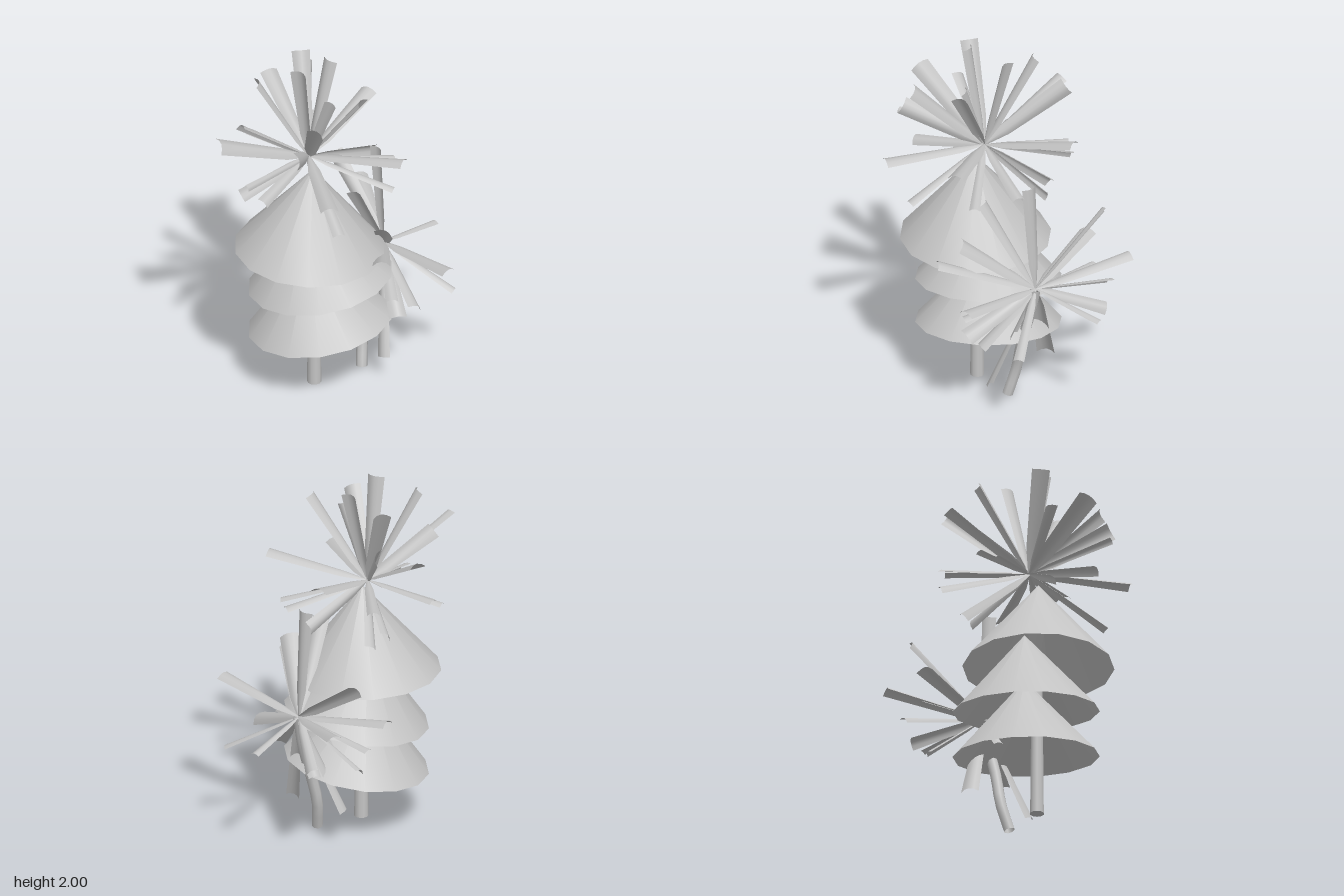
import * as THREE from 'three';

const V = (x, y, z) => new THREE.Vector3(x, y, z);
const UP = V(0, 1, 0);

// Straight arched leaf, narrow at the hub and widest at its cut tip, rolled about its length
function frondGeometry(hub, tip, width, roll) {
  const dir = tip.clone().sub(hub).normalize();
  const side = dir.clone().cross(UP).normalize().applyAxisAngle(dir, -roll);
  const out = side.clone().cross(dir);
  const rows = [[0, 0.14], [0.25, 0.68], [1, 1]];
  const cols = 4;
  const pos = [], idx = [];
  rows.forEach(([t, s], r) => {
    for (let c = 0; c <= cols; c++) {
      const u = (c / cols) * 2 - 1;
      const p = hub.clone().lerp(tip, t)
        .addScaledVector(side, u * s * width / 2)
        .addScaledVector(out, (0.5 - u * u) * s * width * 0.25);
      pos.push(p.x, p.y, p.z);
      if (r && c) {
        const a = (r - 1) * (cols + 1) + c - 1, b = a + cols + 1;
        idx.push(a, a + 1, b, a + 1, b + 1, b);
      }
    }
  });
  const g = new THREE.BufferGeometry();
  g.setAttribute('position', new THREE.Float32BufferAttribute(pos, 3));
  g.setIndex(idx);
  g.computeVertexNormals();
  return g;
}

function crown(name, hub, tips, material) {
  const group = new THREE.Group();
  group.name = name;
  for (const [x, y, z, w = 0.1, roll = 0] of tips) {
    const m = new THREE.Mesh(frondGeometry(hub, V(x, y, z), w, roll), material);
    m.name = 'frond';
    group.add(m);
  }
  return group;
}

export function createModel() {
  const model = new THREE.Group();
  const grey = new THREE.MeshStandardMaterial({ color: 0xc4c4c4, side: THREE.DoubleSide });
  grey.name = 'light grey';
  const add = (name, geometry) => {
    const m = new THREE.Mesh(geometry, grey);
    m.name = name;
    model.add(m);
    return m;
  };

  // Upright trunk
  add('pineTrunk', new THREE.CylinderGeometry(0.032, 0.039, 0.74, 10))
    .position.set(-0.165, 0.375, -0.08);

  // Open foliage cones: base centre, radius, height, axis
  const cones = [
    [V(-0.1, 0.36, -0.09), 0.4, 0.43, V(-0.075, 1, -0.14)],
    [V(-0.1, 0.63, -0.09), 0.4, 0.43, V(-0.075, 1, -0.14)],
    [V(-0.185, 0.868, -0.095), 0.413, 0.5, V(0.02, 1, 0.03)],
  ];
  for (const [base, r, h, axis] of cones) {
    const g = new THREE.ConeGeometry(r, h, 14, 1, true);
    g.translate(0, h / 2, 0);
    const cone = add('foliageCone', g);
    cone.quaternion.setFromUnitVectors(UP, axis.normalize());
    cone.position.copy(base);
  }

  // Bent trunk of the smaller palm
  const bend = new THREE.CatmullRomCurve3([
    V(0.1, 0.02, 0.035), V(0.14, 0.18, 0.01), V(0.18, 0.35, 0.025),
    V(0.24, 0.55, 0.04), V(0.28, 0.73, 0.04),
  ]);
  add('palmTrunk', new THREE.TubeGeometry(bend, 10, 0.031, 8, false));

  // Frond tips: x, y, z, width, roll
  model.add(crown('upperCrown', V(-0.15, 1.42, -0.13), [
    [-0.245, 2, -0.12], [0, 1.97, -0.11], [-0.36, 1.92, -0.32],
    [0.04, 1.92, -0.34], [-0.1, 1.87, 0.2], [-0.43, 1.81, 0.15, 0.1, 0.6],
    [-0.17, 1.83, 0.04, 0.07, 1.2], [0.2, 1.75, -0.41, 0.1, -1.3],
    [-0.68, 1.67, -0.32, 0.11, 0.5], [-0.53, 1.66, 0.1, 0.1, 1.3],
    [0.06, 1.69, -0.58], [-0.69, 1.48, -0.12, 0.04, 0.9],
    [0.4, 1.57, -0.16], [0, 1.52, 0.41], [-0.51, 1.42, 0.31],
    [-0.58, 1.34, -0.1, 0.07, 0.6], [0.22, 1.42, -0.4, 0.07], [0.24, 1.33, 0.15, 0.07],
    [0.3, 1.28, -0.04, 0.08, 1.3], [-0.46, 1.23, -0.35, 0.08, 0.6],
    [0.14, 1.17, -0.34, 0.1, 0.9], [-0.38, 1.18, 0.27, 0.07],
    [-0.24, 1.34, -0.55, 0.06], [-0.13, 1.4, -0.56, 0.06],
    [0.2, 1.3, -0.47, 0.08, 0.8], [0.05, 1.28, 0.3, 0.06],
    [-0.45, 1.66, -0.36, 0.1, -0.6],
  ], grey));

  model.add(crown('lowerCrown', V(0.28, 0.73, 0.04), [
    [0.24, 1.34, 0.03], [0.43, 1.05, -0.42, 0.09, 0.9], [0.61, 0.83, -0.4],
    [0.27, 0.82, -0.52], [0.7, 0.66, 0.06, 0.05], [0.17, 0.81, 0.59],
    [-0.14, 0.92, 0.37], [-0.03, 1.04, 0.3, 0.11, 0.4], [-0.02, 1.2, 0.09],
    [0.41, 0.51, 0.43, 0.06], [0.57, 0.57, -0.22, 0.08, -0.7], [0.35, 0.67, -0.45, 0.06],
    [0.45, 0.59, -0.46, 0.07, 0.6], [0, 0.6, 0.33, 0.07], [-0.06, 0.56, -0.18, 0.06],
    [0.2, 0.2, -0.2], [0.08, 0.15, 0.2, 0.08, -0.6], [0.08, 0.56, 0.43, 0.1, 0.6],
    [0.09, 0.44, 0.3], [0.07, 0.48, -0.1, 0.06], [0.48, 0.5, -0.19, 0.07],
  ], grey));

  return model;
}
